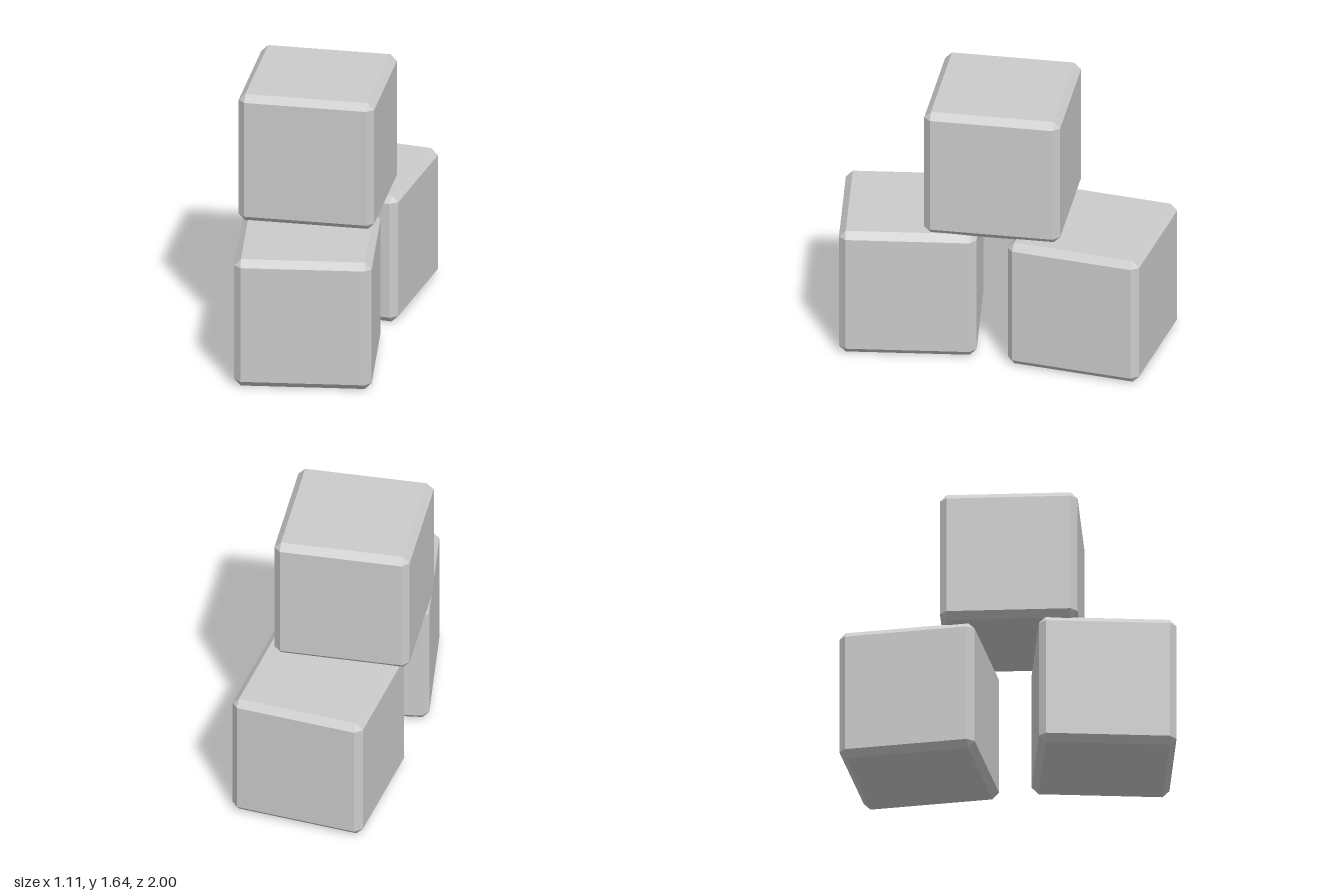
import * as THREE from 'three';
import { ConvexGeometry } from 'three/addons/geometries/ConvexGeometry.js';

const SIZE = 0.823;
const BEVEL = 0.041;

// Cube with flat chamfered edges and triangular corners
function bevelledCube(size, bevel) {
  const outer = size / 2, inner = outer - bevel;
  const points = [];
  for (const x of [-1, 1]) for (const y of [-1, 1]) for (const z of [-1, 1]) {
    points.push(
      new THREE.Vector3(x * outer, y * inner, z * inner),
      new THREE.Vector3(x * inner, y * outer, z * inner),
      new THREE.Vector3(x * inner, y * inner, z * outer));
  }
  return new ConvexGeometry(points);
}

export function createModel() {
  const group = new THREE.Group();
  group.name = 'stackedCubes';
  const geometry = bevelledCube(SIZE, BEVEL);
  const material = new THREE.MeshStandardMaterial({ color: 0xcccccc, flatShading: true });

  // Two cubes on the ground, one resting across them; turn in degrees
  const cubes = [
    { name: 'frontCube', at: [-0.13, SIZE / 2, 0.588], turn: 0 },
    { name: 'backCube', at: [0.064, SIZE / 2, -0.506], turn: -14.6 },
    { name: 'topCube', at: [-0.106, 1.228, 0.04], turn: -6.5 },
  ];
  for (const { name, at, turn } of cubes) {
    const cube = new THREE.Mesh(geometry, material);
    cube.name = name;
    cube.position.set(...at);
    cube.rotation.y = THREE.MathUtils.degToRad(turn);
    group.add(cube);
  }
  return group;
}
